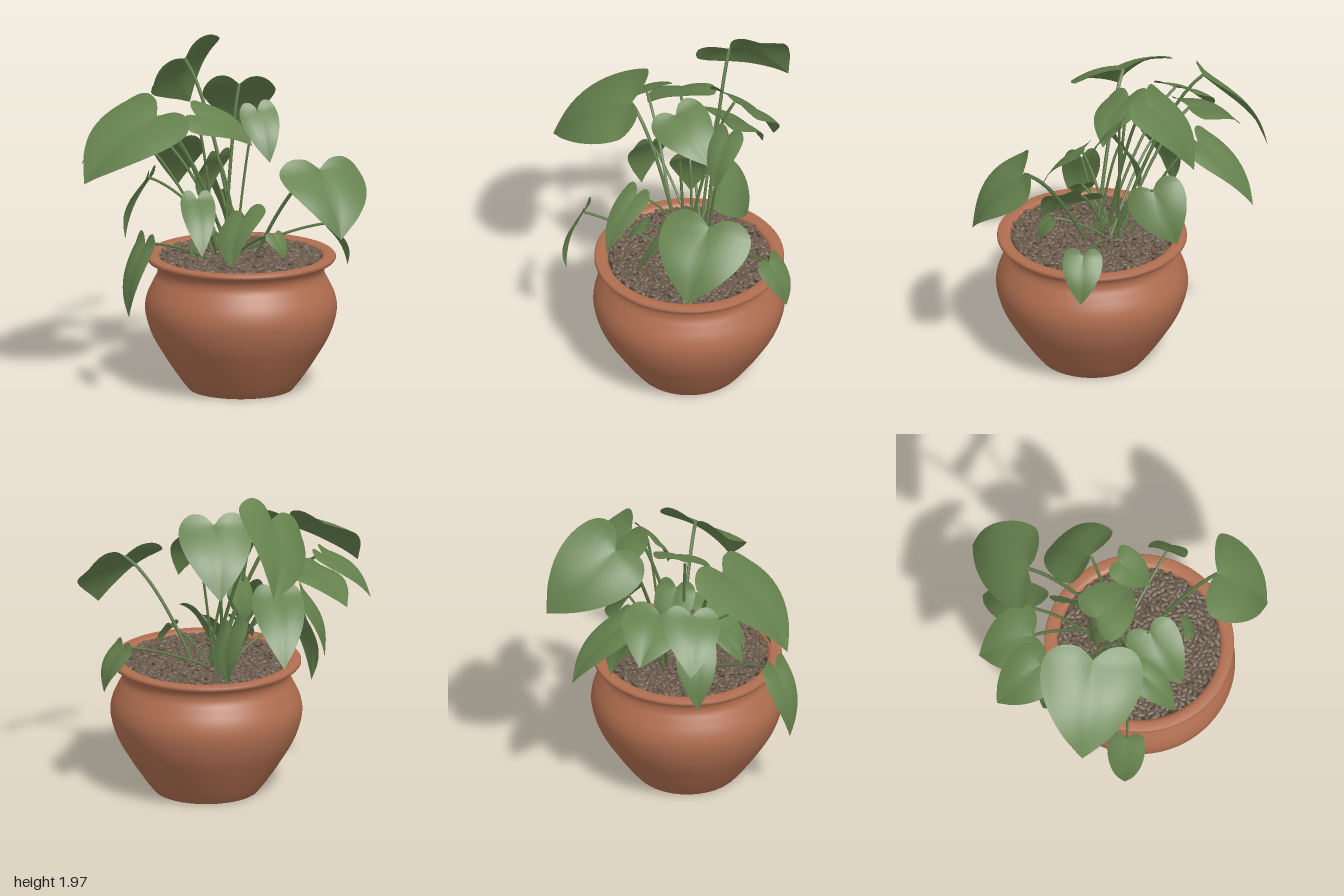
import * as THREE from 'three';
import { mergeGeometries } from 'three/addons/utils/BufferGeometryUtils.js';

const V = (p) => new THREE.Vector3(...p);
const points2D = (list) => list.map((p) => new THREE.Vector2(...p));
const CX = 0.11, CZ = 0.22; // pot axis

// Free-standing leaves: joint, tip, half width, roll about the midrib
const CROWN = [
  [[-0.2, 1.83, -0.36], [-0.16, 1.47, -0.78], 0.25, 0.74],
  [[0.11, 1.73, -0.13], [0.11, 1.36, -0.43], 0.21, 0],
  [[0.21, 1.61, 0], [0.28, 1.33, 0.17], 0.11, -0.26],
  [[-0.38, 1.63, 0.24], [-0.81, 1.28, 0.47], 0.3, 0.24],
  [[-0.15, 1.6, 0.1], [0.18, 1.42, 0.12], 0.17, -0.33],
  [[-0.41, 1.46, -0.17], [-0.64, 1.28, -0.39], 0.2, 0.12],
  [[-0.54, 1.49, -0.02], [-0.81, 1.25, -0.14], 0.165, 0.15],
  [[-0.24, 1.34, -0.3], [-0.24, 1.0, -0.65], 0.15, 0],
  [[0.56, 1.36, 0.46], [0.68, 1.0, 0.73], 0.27, 0.09],
  [[0.13, 1.04, 0.28], [0.05, 0.79, 0.57], 0.155, -0.5],
  [[-0.15, 1.17, 0.4], [-0.13, 0.88, 0.65], 0.1, 0],
  [[0, 1.1, -0.12], [0.04, 0.8, -0.29], 0.17, -0.9],
];

// Small leaves hanging outward: bearing, joint radius, joint height, reach, drop, half width
const SKIRT = [
  [-0.32, 0.54, 0.94, 0.12, 0.26, 0.115],
  [3.45, 0.56, 1.22, 0.14, 0.38, 0.12],
  [2.63, 0.65, 0.94, 0.11, 0.43, 0.11],
  [0.76, 0.26, 0.95, 0.07, 0.13, 0.075],
  [3.89, 0.18, 1.35, 0.11, 0.31, 0.12],
  [2.5, 0.25, 0.98, 0.12, 0.14, 0.075],
];
const around = (bearing, r, y) => [CX + r * Math.cos(bearing), y, CZ + r * Math.sin(bearing)];
const LEAVES = CROWN.concat(SKIRT.map(([bearing, r, y, reach, drop, halfWidth]) =>
  [around(bearing, r, y), around(bearing, r + reach, y - drop), halfWidth, 0]));

// Half outline of a heart: x = share of the half width, y = share of the midrib
const OUTLINE = new THREE.SplineCurve(points2D([[0, 0], [0.3, -0.13], [0.68, -0.14], [0.96, 0],
  [1, 0.24], [0.82, 0.5], [0.5, 0.74], [0.2, 0.9], [0, 1]]));

function leafGeometry(joint, tip, halfWidth, roll, seed) {
  const base = V(joint), rib = V(tip).sub(base), len = rib.length();
  const across = new THREE.Vector3(-rib.z, 0, rib.x).normalize()
    .applyAxisAngle(rib.clone().normalize(), -roll);
  const normal = across.clone().cross(rib).normalize();
  // a positive roll lifts the right-hand blade
  if (across.y * roll < 0) {
    across.applyAxisAngle(rib.clone().normalize(), 2 * roll);
    normal.crossVectors(across, rib).normalize();
  }
  const rows = 26, half = 6, cols = half * 2, pos = [], index = [];
  for (let i = 0; i <= rows; i++) {
    const t = i / rows, edge = OUTLINE.getPoint(t);
    for (let j = -half; j <= half; j++) {
      const s = Math.abs(j) / half, out = edge.x * s;
      const along = THREE.MathUtils.lerp(t, edge.y, s);
      // arched midrib, raised blade halves, drooping wavy rim
      const lift = 0.1 * len * Math.sin(Math.PI * Math.max(along, 0))
        + halfWidth * (0.2 * out - 0.26 * out * out + 0.04 * out * Math.sin(9 * t + seed + Math.sign(j)));
      const p = base.clone().addScaledVector(rib, along)
        .addScaledVector(across, Math.sign(j) * out * halfWidth).addScaledVector(normal, lift);
      pos.push(p.x, p.y, p.z);
      if (i < rows && j < half) {
        const k = i * (cols + 1) + j + half, n = k + cols + 1;
        index.push(k, k + 1, n, k + 1, n + 1, n);
      }
    }
  }
  const g = new THREE.BufferGeometry();
  g.setAttribute('position', new THREE.Float32BufferAttribute(pos, 3));
  // wind the faces so the upper side is the front
  g.setIndex(index.reverse());
  g.computeVertexNormals();
  return g;
}

// Stem rising steeply out of the gravel, then bending over to the leaf
function stemGeometry(joint, halfWidth, i) {
  const end = V(joint);
  const root = V(around(i * 2.4, 0.08, 0.76)).add(new THREE.Vector3(-0.05, 0, -0.07));
  root.lerp(new THREE.Vector3(end.x, 0.76, end.z), 0.12);
  const bend = root.clone().lerp(end, 0.55);
  bend.y = THREE.MathUtils.lerp(root.y, end.y, 0.85);
  const curve = new THREE.QuadraticBezierCurve3(root, bend, end);
  return new THREE.TubeGeometry(curve, 14, 0.006 + 0.018 * halfWidth, 6);
}

function gravelGeometry() {
  let seed = 7;
  const rand = () => (seed = (seed * 16807) % 2147483647) / 2147483647;
  const stones = [], count = 800, radius = 0.465;
  for (let i = 0; i < count; i++) {
    const g = new THREE.SphereGeometry(1, 7, 5);
    g.scale(0.026 + 0.01 * rand(), 0.011 + 0.004 * rand(), 0.014 + 0.004 * rand());
    g.rotateZ((rand() - 0.5) * 0.9);
    g.rotateY(rand() * Math.PI * 2);
    g.translate(...around(i * 2.39996, radius * Math.sqrt((i + 0.5) / count), 0.772 + 0.02 * rand()));
    stones.push(g);
  }
  return mergeGeometries(stones);
}

export function createModel() {
  const group = new THREE.Group();
  group.name = 'pottedPlant';
  const material = (name, color, side = THREE.FrontSide) => {
    const m = new THREE.MeshStandardMaterial({ color, side });
    m.name = name;
    return m;
  };
  const terracotta = material('terracotta', 0xb06e50);
  const gravelBrown = material('gravelBrown', 0x6a5a4b);
  const soilBrown = material('soilBrown', 0x40352b);
  const leafGreen = material('leafGreen', 0x66824e, THREE.DoubleSide);
  const stemGreen = material('stemGreen', 0x5d7846);
  const add = (name, geometry, mat, parent = group) => {
    const mesh = new THREE.Mesh(geometry, mat);
    mesh.name = name;
    parent.add(mesh);
    return mesh;
  };

  // Pot: recessed foot, round belly, narrow neck, rolled rim and inner wall
  const belly = new THREE.SplineCurve(points2D([[0.31, 0.005], [0.36, 0.07], [0.44, 0.19], [0.52, 0.33],
    [0.558, 0.46], [0.55, 0.55], [0.515, 0.63], [0.49, 0.68], [0.488, 0.72], [0.51, 0.755], [0.545, 0.768]]));
  const foot = points2D([[0, 0.025], [0.265, 0.025], [0.28, 0], [0.305, 0]]);
  const rim = points2D([[0.553, 0.778], [0.553, 0.79], [0.545, 0.8], [0.5, 0.8], [0.482, 0.795],
    [0.472, 0.78], [0.468, 0.74]]);
  add('pot', new THREE.LatheGeometry([...foot, ...belly.getPoints(44), ...rim], 72), terracotta)
    .position.set(CX, 0, CZ);

  // Soil and gravel
  const soil = add('soil', new THREE.CircleGeometry(0.472, 48), soilBrown);
  soil.rotation.x = -Math.PI / 2;
  soil.position.set(CX, 0.765, CZ);
  add('gravel', gravelGeometry(), gravelBrown);

  // Foliage
  const foliage = new THREE.Group();
  foliage.name = 'foliage';
  group.add(foliage);
  LEAVES.forEach(([joint, tip, halfWidth, roll], i) => {
    add(`leaf${i + 1}`, leafGeometry(joint, tip, halfWidth, roll, i * 1.7), leafGreen, foliage);
    add(`stem${i + 1}`, stemGeometry(joint, halfWidth, i), stemGreen, foliage);
  });
  return group;
}
